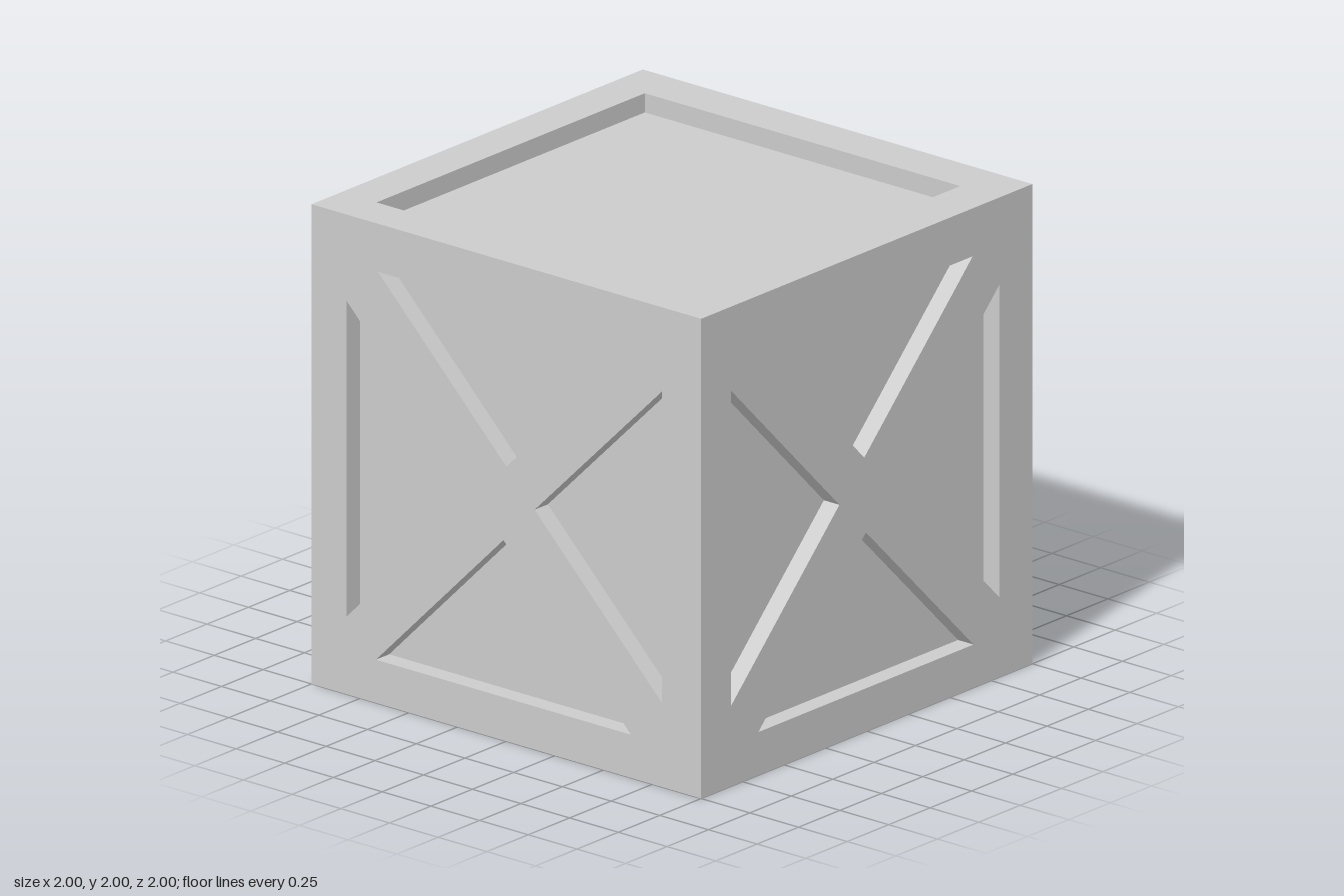
import * as THREE from 'three';

const HALF = 1, DEPTH = 0.08;
const material = new THREE.MeshStandardMaterial({ color: 0xcccccc, flatShading: true });

// Triangular openings around the cross brace: [across, up] from the face centre
const FRONT = [
  [[-0.66, 0.8], [0.66, 0.8], [0, 0.145]],
  [[0.8, 0.65], [0.8, -0.65], [0.145, 0]],
  [[-0.67, -0.82], [0.64, -0.82], [-0.015, -0.165]],
  [[-0.82, 0.64], [-0.82, -0.675], [-0.16, -0.02]],
];
const SIDE = [
  [[-0.67, 0.8], [0.64, 0.8], [-0.015, 0.145]],
  [[0.8, 0.635], [0.8, -0.665], [0.145, -0.02]],
  [[-0.655, -0.82], [0.645, -0.82], [-0.005, -0.17]],
  [[-0.82, 0.65], [-0.82, -0.665], [-0.165, -0.01]],
];
// Square opening of the lid and the base
const LID = [[[-0.82, -0.82], [0.8, -0.82], [0.8, 0.8], [-0.82, 0.8]]];

const mirrorX = (holes) => holes.map((h) => h.map(([x, y]) => [-x, y]));
const mirrorY = (holes) => holes.map((h) => h.map(([x, y]) => [x, -y]));

// Walls joining the rim of an opening to its recessed floor, facing inward
function wallGeometry(points) {
  const pos = [];
  points.forEach((p, i) => {
    const q = points[(i + 1) % points.length];
    pos.push(p.x, p.y, 0, q.x, q.y, 0, q.x, q.y, -DEPTH);
    pos.push(p.x, p.y, 0, q.x, q.y, -DEPTH, p.x, p.y, -DEPTH);
  });
  const geo = new THREE.BufferGeometry();
  geo.setAttribute('position', new THREE.Float32BufferAttribute(pos, 3));
  geo.computeVertexNormals();
  return geo;
}

function addMesh(parent, geometry, name) {
  const mesh = new THREE.Mesh(geometry, material);
  mesh.name = name;
  parent.add(mesh);
  return mesh;
}

// One crate face: flat frame with openings, each with walls and a floor
function createFace(name, holes, rotX, rotY) {
  const face = new THREE.Group();
  face.name = name;
  const outline = new THREE.Shape([[-1, -1], [1, -1], [1, 1], [-1, 1]]
    .map(([x, y]) => new THREE.Vector2(x * HALF, y * HALF)));

  const frame = new THREE.Group();
  frame.position.z = HALF;
  face.add(frame);
  for (const hole of holes) {
    const points = hole.map(([x, y]) => new THREE.Vector2(x, y));
    if (THREE.ShapeUtils.isClockWise(points)) points.reverse();
    outline.holes.push(new THREE.Path(points));
    addMesh(frame, wallGeometry(points), 'recessWalls');
    addMesh(frame, new THREE.ShapeGeometry(new THREE.Shape(points)), 'recessPanel').position.z = -DEPTH;
  }
  addMesh(frame, new THREE.ShapeGeometry(outline), 'frame');

  face.rotation.set(rotX, rotY, 0);
  face.position.y = HALF;
  return face;
}

export function createModel() {
  const crate = new THREE.Group();
  crate.name = 'crate';
  const q = Math.PI / 2;
  crate.add(
    createFace('frontFace', FRONT, 0, 0),
    createFace('backFace', mirrorX(FRONT), 0, Math.PI),
    createFace('leftFace', SIDE, 0, q),
    createFace('rightFace', mirrorX(SIDE), 0, -q),
    createFace('topFace', LID, -q, 0),
    createFace('bottomFace', mirrorY(LID), q, 0),
  );
  return crate;
}
